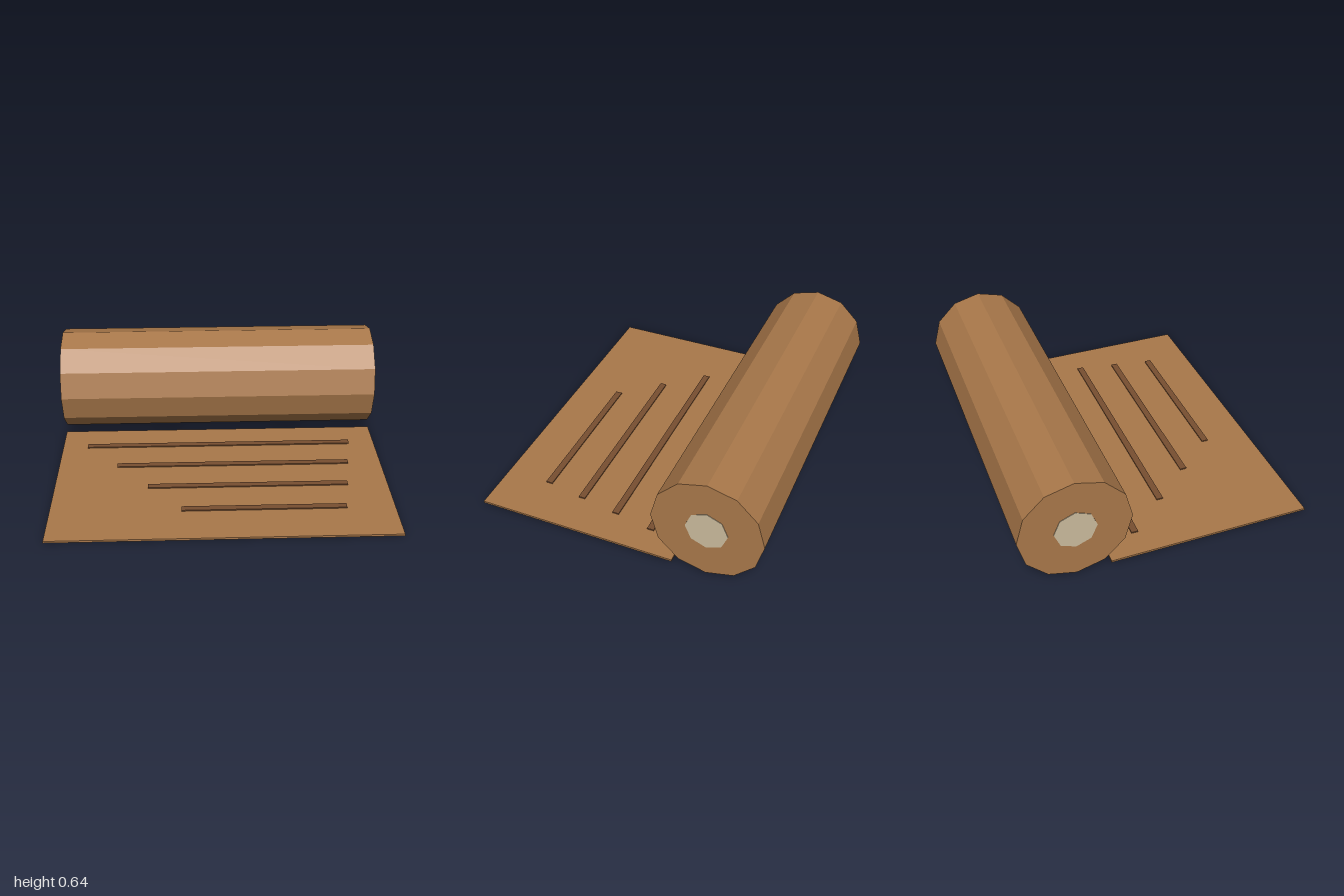
import * as THREE from 'three';

const flat = (name, color) => {
  const material = new THREE.MeshStandardMaterial({ color, flatShading: true });
  material.name = name;
  return material;
};

export function createModel() {
  const model = new THREE.Group();
  model.name = 'unrolledMat';
  const brown = flat('tan brown', 0xa9784a);
  const dark = flat('dark brown', 0x784f31);
  const cream = flat('pale cream', 0xcbbb9d);

  const add = (name, geometry, material, x, y, z) => {
    const mesh = new THREE.Mesh(geometry, material);
    mesh.name = name;
    mesh.position.set(x, y, z);
    model.add(mesh);
  };
  // Cylinder lying along x, with a corner pointing up
  const lying = (radius, length, sides) =>
    new THREE.CylinderGeometry(radius, radius, length, sides).rotateZ(Math.PI / 2);

  // Rolled-up part and its core, which just stands out at both ends
  add('roll', lying(0.318, 1.994, 12), brown, 0, 0.321, -0.537);
  add('core', lying(0.12, 2, 8), cream, 0, 0.321, -0.537);

  // Flat unrolled sheet
  add('sheet', new THREE.BoxGeometry(1.994, 0.012, 1.19), brown, 0, 0.01, 0.258);

  // Raised stripes: start x, end x, z
  [
    [-0.84, 0.836, -0.14],
    [-0.637, 0.795, 0.098],
    [-0.44, 0.756, 0.336],
    [-0.24, 0.715, 0.575],
  ].forEach(([x0, x1, z], i) => {
    add(`stripe${i + 1}`, new THREE.BoxGeometry(x1 - x0, 0.008, 0.04), dark, (x0 + x1) / 2, 0.019, z);
  });

  return model;
}
